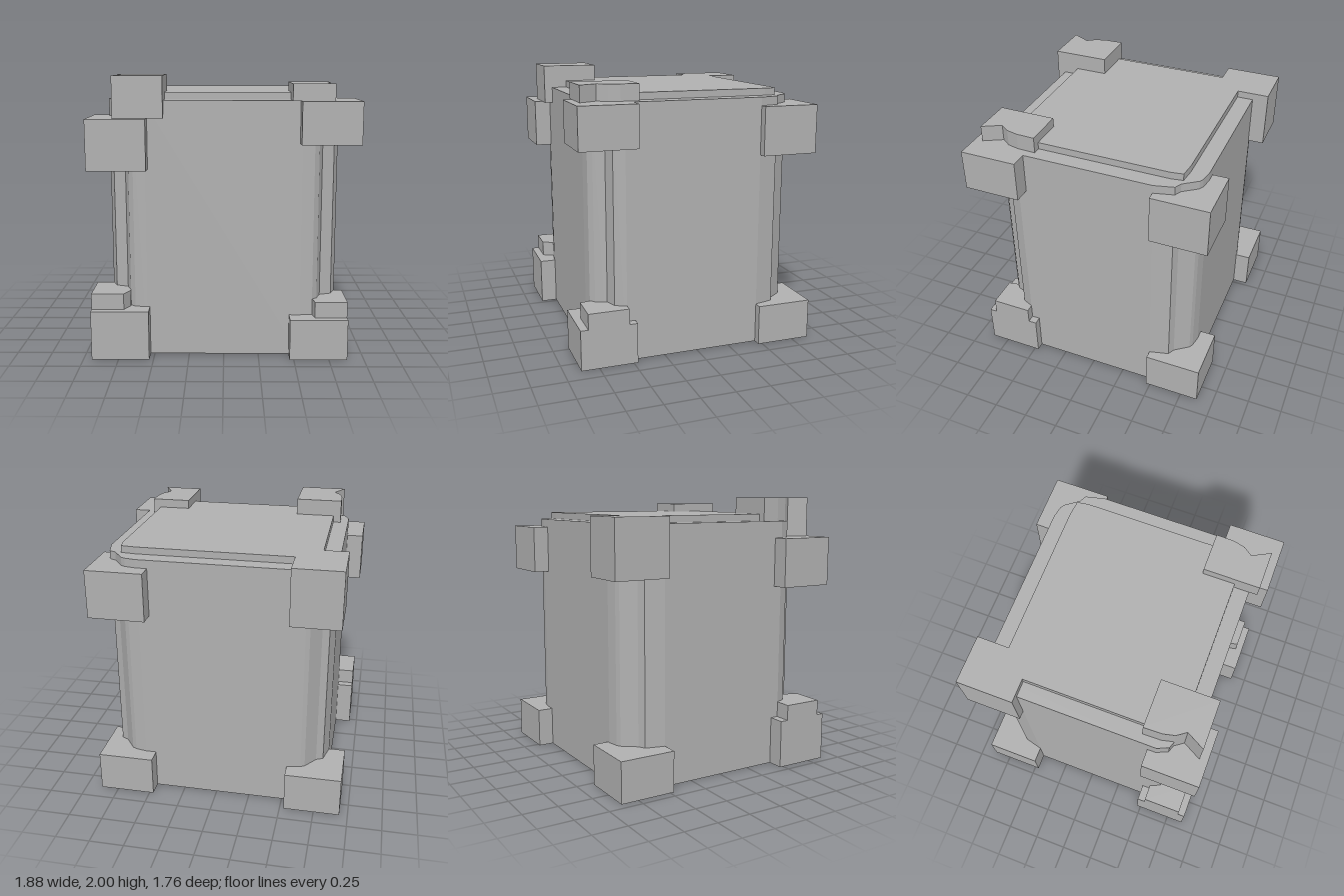
import * as THREE from 'three';

const grey = new THREE.MeshStandardMaterial({ color: 0xb0b0b0 });
grey.name = 'stone grey';

// Upright prism from a plan outline of [x, z] points
function prism(name, points, y0, y1) {
  const shape = new THREE.Shape(points.map(([x, z]) => new THREE.Vector2(x, -z)));
  const geometry = new THREE.ExtrudeGeometry(shape, { depth: y1 - y0, bevelEnabled: false });
  geometry.rotateX(-Math.PI / 2).translate(0, y0, 0);
  const mesh = new THREE.Mesh(geometry, grey);
  mesh.name = name;
  return mesh;
}

// Box given by its limits
function block(name, x0, x1, y0, y1, z0, z1) {
  const geometry = new THREE.BoxGeometry(x1 - x0, y1 - y0, z1 - z0);
  geometry.translate((x0 + x1) / 2, (y0 + y1) / 2, (z0 + z1) / 2);
  const mesh = new THREE.Mesh(geometry, grey);
  mesh.name = name;
  return mesh;
}

// Full outline from one corner's points, mirrored into the four corners
function mirrorCorners(front, back = front) {
  const flip = (pts, sx, sz) => pts.map(([x, z]) => [x * sx, z * sz]);
  return [
    ...flip(front, 1, 1),
    ...flip(front, -1, 1).reverse(),
    ...flip(back, -1, -1),
    ...flip(back, 1, -1).reverse(),
  ];
}

export function createModel() {
  const model = new THREE.Group();
  model.name = 'crate';

  // Main body with scooped vertical corners
  const frontCorner = [[0.82, 0.47], [0.82, 0.53], [0.785, 0.61], [0.70, 0.64], [0.67, 0.72], [0.635, 0.75], [0.55, 0.76]];
  const backCorner = [[0.82, 0.47], [0.785, 0.61], [0.735, 0.635], [0.66, 0.735], [0.63, 0.75], [0.55, 0.765]];
  model.add(prism('body', mirrorCorners(frontCorner, backCorner), 0, 1.83));

  // Raised lid
  const lidCorner = [[0.705, 0.55], [0.692, 0.635], [0.58, 0.647]];
  model.add(prism('lid', mirrorCorners(lidCorner), 1.83, 1.88));

  // Corner blocks: x0, x1, y0, y1, z0, z1
  const blocks = {
    lowerFrontLeftBlock: [0.47, 0.88, 0, 0.295, 0.47, 0.88],
    lowerFrontRightBlock: [-0.94, -0.53, 0, 0.355, 0.47, 0.88],
    lowerBackLeftBlock: [0.47, 0.88, 0, 0.295, -0.88, -0.47],
    lowerBackRightBlock: [-0.94, -0.53, 0, 0.295, -0.88, -0.47],
    upperFrontLeftBlock: [0.53, 0.94, 1.535, 1.83, 0.47, 0.88],
    upperFrontRightBlock: [-0.94, -0.53, 1.355, 1.71, 0.47, 0.88],
    upperBackLeftBlock: [0.47, 0.88, 1.42, 1.77, -0.88, -0.47],
    upperBackRightBlock: [-0.88, -0.53, 1.47, 1.88, -0.88, -0.47],
  };
  for (const [name, limits] of Object.entries(blocks)) model.add(block(name, ...limits));

  // Steps on the lower front blocks
  model.add(prism('lowerFrontLeftStep',
    [[0.88, 0.53], [0.88, 0.825], [0.65, 0.825], [0.635, 0.74], [0.635, 0.53]], 0.295, 0.41));
  model.add(prism('lowerFrontRightStep',
    [[-0.94, 0.53], [-0.94, 0.825], [-0.71, 0.825], [-0.67, 0.74], [-0.67, 0.53]], 0.355, 0.47));

  // Notched caps on the upper front corners
  const notch = [[0.76, 0.41], [0.757, 0.54], [0.737, 0.625], [0.69, 0.69], [0.76, 0.82]];
  model.add(prism('frontLeftCap', [...notch, [0.47, 0.82], [0.47, 0.41]], 1.83, 1.945));
  model.add(prism('frontRightCap',
    [...notch.map(([x, z]) => [-x, z]), [-0.415, 0.82], [-0.415, 0.41]], 1.71, 2));

  return model;
}
